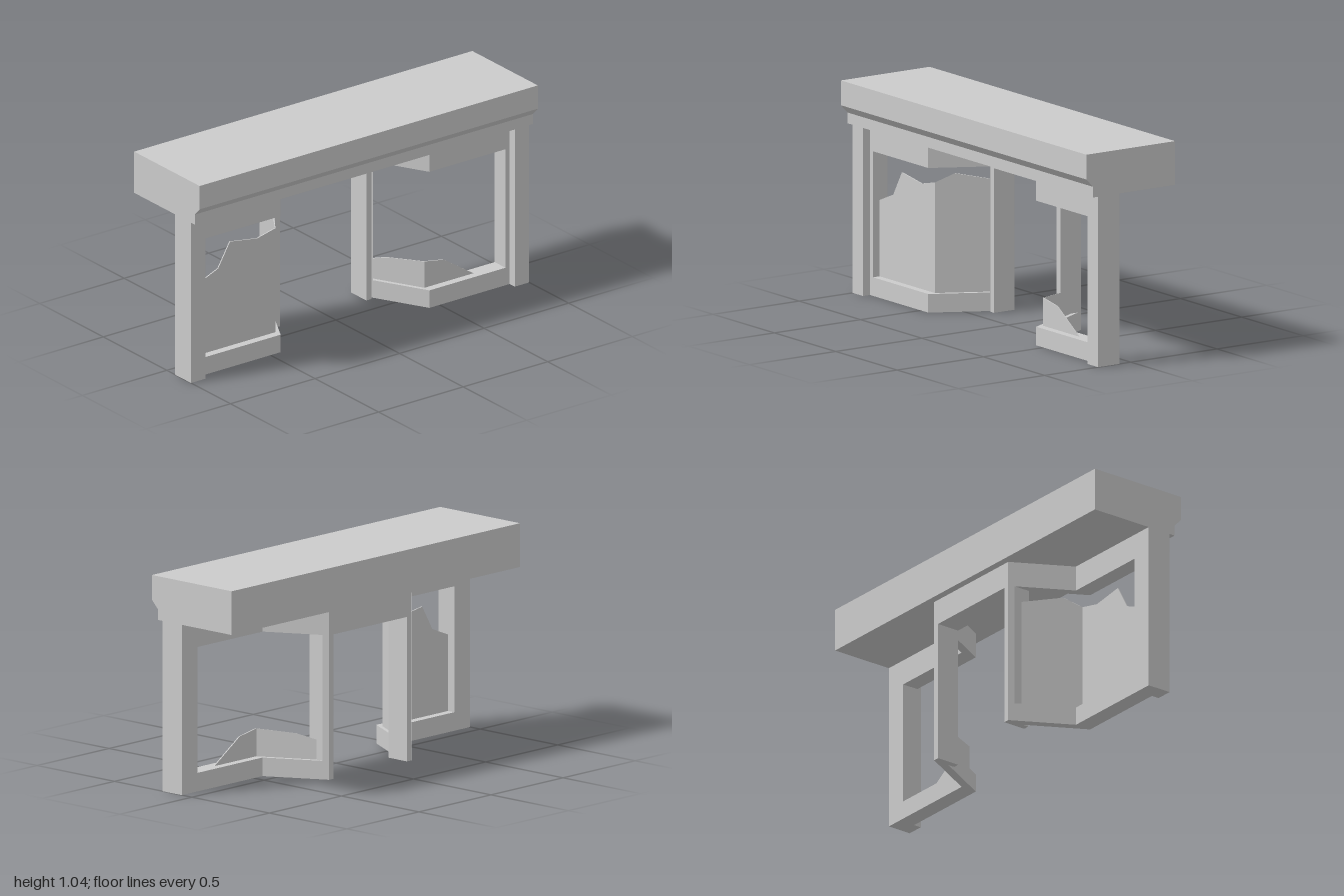
import * as THREE from 'three';

const material = new THREE.MeshStandardMaterial({ color: 0xcccccc, flatShading: true });

const TOP = 0.825;     // underside of the cornice
const HEAD = 0.7;      // underside of the lintels
const SILL = 0.09;     // top of the window sills
const BEND = 0.44;     // x where the window turns towards the door
const SLOPE = 1.84;    // depth gained per unit of x past the bend

function add(parent, name, geometry) {
  const mesh = new THREE.Mesh(geometry, material);
  mesh.name = name;
  parent.add(mesh);
  return mesh;
}

function box(parent, name, x0, x1, y0, y1, z0, z1) {
  const geometry = new THREE.BoxGeometry(Math.abs(x1 - x0), y1 - y0, z1 - z0);
  geometry.translate((x0 + x1) / 2, (y0 + y1) / 2, (z0 + z1) / 2);
  return add(parent, name, geometry);
}

// Extrudes an elevation drawn for one side and slants whatever lies past the bend
function panel(parent, name, side, points, zBack, depth) {
  const shape = new THREE.Shape(points.map(([x, y]) => new THREE.Vector2(side * x, y)));
  const geometry = new THREE.ExtrudeGeometry(shape, { depth, bevelEnabled: false });
  const p = geometry.attributes.position;
  for (let i = 0; i < p.count; i++) {
    const past = Math.max(0, BEND - Math.abs(p.getX(i)));
    p.setZ(i, p.getZ(i) + zBack - SLOPE * past);
  }
  geometry.computeVertexNormals();
  return add(parent, name, geometry);
}

// C-shaped half frame, open towards the bend
const halfFrame = (outer, inner) => [
  [BEND, 0], [outer, 0], [outer, TOP], [BEND, TOP],
  [BEND, HEAD], [inner, HEAD], [inner, SILL], [BEND, SILL],
];

// Broken pane edges, listed from the bend outwards
const brokenGlass = {
  '-1': {
    flat: [[BEND, 0.625], [0.55, 0.6], [0.71, 0.625], [0.78, 0.505], [0.89, 0.46], [0.89, SILL]],
    slanted: [[BEND, 0.625], [0.395, 0.667], [0.3, 0.63], [0.3, SILL]],
  },
  '1': {
    flat: [[BEND, 0.225], [0.555, 0.205], [0.73, SILL]],
    slanted: [[BEND, 0.225], [0.346, 0.212], [0.3, 0.187], [0.3, SILL]],
  },
};

export function createModel() {
  const model = new THREE.Group();
  model.name = 'shopFront';

  // Cornice: profile in z and y, run along x
  const profile = new THREE.Shape([
    [-0.257, TOP], [0.22, TOP], [0.22, 0.877], [0.258, 0.917], [0.258, 1.037], [-0.257, 1.037],
  ].map(([z, y]) => new THREE.Vector2(-z, y)));
  const cornice = new THREE.ExtrudeGeometry(profile, { depth: 2, bevelEnabled: false });
  cornice.translate(0, 0, -1).rotateY(Math.PI / 2);
  add(model, 'cornice', cornice);

  // Doorway
  box(model, 'doorLintel', -0.285, 0.285, HEAD, TOP, -0.22, -0.1);

  for (const side of [-1, 1]) {
    const bay = new THREE.Group();
    bay.name = side > 0 ? 'leftBay' : 'rightBay';
    model.add(bay);

    box(bay, 'pillar', side * 0.915, side, 0, TOP, 0.065, 0.19);
    box(bay, 'doorPost', side * 0.255, side * 0.285, 0, HEAD, -0.22, -0.1);

    // Window frame, straight part and part slanting to the door
    panel(bay, 'frontFrame', side, halfFrame(0.915, 0.89), 0.065, 0.085);
    panel(bay, 'slantedFrame', side, halfFrame(0.285, 0.3), 0.065, 0.085);

    // Remains of the panes
    const glass = brokenGlass[side];
    panel(bay, 'frontGlass', side, [[BEND, SILL], ...glass.flat], 0.105, 0.006);
    panel(bay, 'slantedGlass', side, [[BEND, SILL], ...glass.slanted], 0.105, 0.006);
  }
  return model;
}
